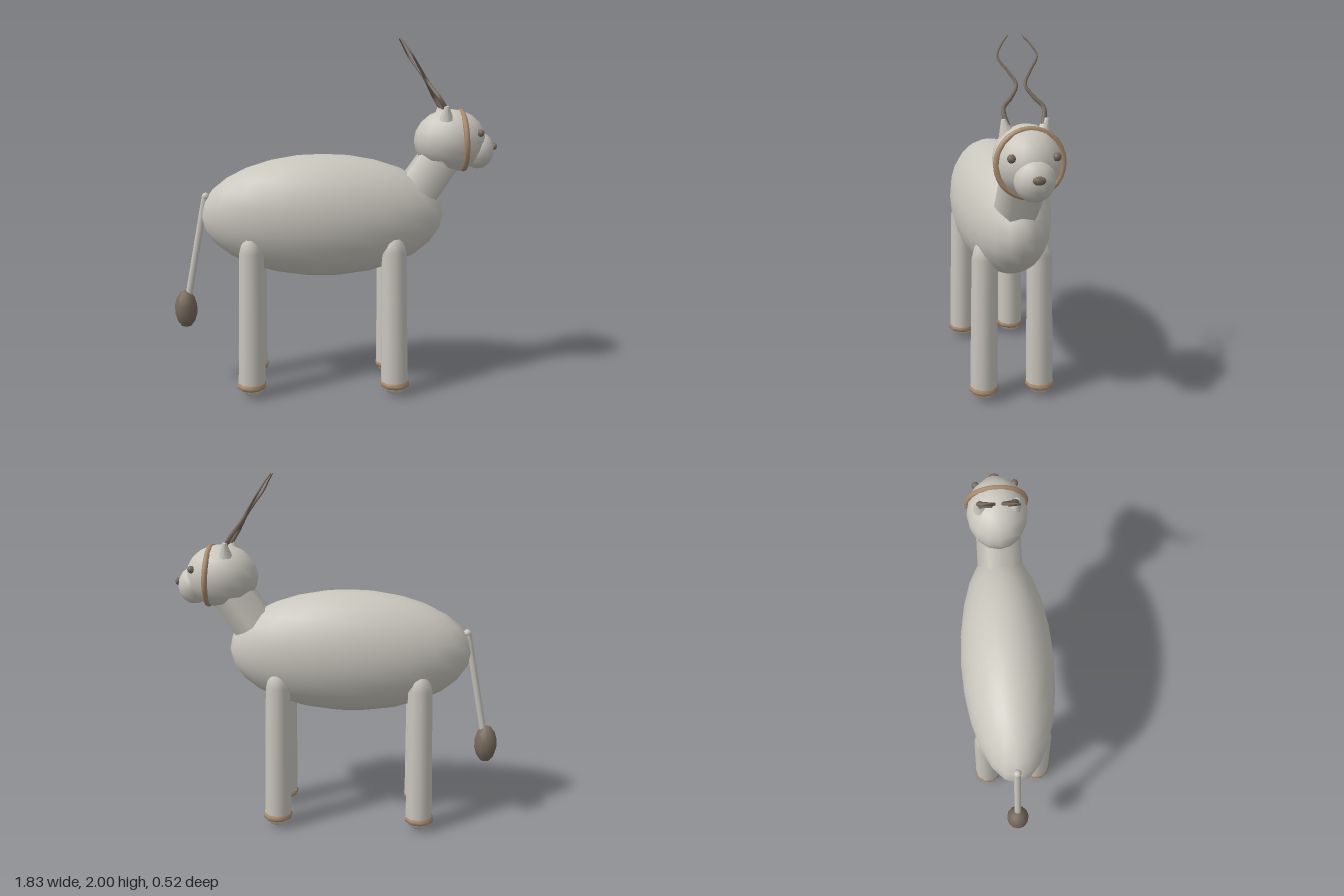
import * as THREE from 'three';

const mat = (name, color) => {
  const m = new THREE.MeshStandardMaterial({ color });
  m.name = name;
  return m;
};

export function createModel() {
  const root = new THREE.Group();
  root.name = 'antelope';
  const hide = mat('paleHide', 0xc9c6bd);
  const tan = mat('tanBand', 0xa98b6c);
  const dark = mat('darkBrown', 0x76695b);

  const add = (name, geometry, material, pos = [0, 0, 0], parent = root) => {
    const m = new THREE.Mesh(geometry, material);
    m.name = name;
    m.position.set(...pos);
    parent.add(m);
    return m;
  };
  const ball = (name, material, pos, radii, seg = 16) =>
    add(name, new THREE.SphereGeometry(1, seg, Math.max(6, Math.round(seg * 0.6))), material, pos)
      .scale.set(...radii);
  // Cylinder running from point a to point b
  const rod = (name, material, a, b, ra, rb, seg) => {
    const from = new THREE.Vector3(...a), to = new THREE.Vector3(...b);
    const dir = to.clone().sub(from);
    const m = add(name, new THREE.CylinderGeometry(rb, ra, dir.length(), seg), material,
      from.add(to).multiplyScalar(0.5).toArray());
    m.quaternion.setFromUnitVectors(new THREE.Vector3(0, 1, 0), dir.normalize());
    return m;
  };

  // Body and neck
  ball('body', hide, [-0.065, 1.02, 0], [0.685, 0.347, 0.262], 24);
  rod('neck', hide, [0.475, 1.165, 0], [0.645, 1.415, 0], 0.127, 0.122, 6);

  // Head, muzzle and nose
  ball('head', hide, [0.65, 1.44, 0], [0.203, 0.175, 0.167], 16);
  ball('muzzle', hide, [0.81, 1.385, 0], [0.09, 0.104, 0.1], 14);
  ball('nose', dark, [0.9, 1.406, 0], [0.017, 0.021, 0.032], 10);

  // Halter band around the head
  const halter = add('halter', new THREE.TorusGeometry(0.161, 0.016, 8, 28), tan, [0.717, 1.442, 0]);
  halter.rotation.set(0, Math.PI / 2, 0.06, 'ZYX');

  // Legs: tapered with rounded ends, leaning slightly inwards, banded above the hoof
  const legProfile = [[0, 0.005], [0.035, 0.014], [0.06, 0.035], [0.07, 0.06], [0.078, 0.085],
    [0.07, 0.84], [0.055, 0.9], [0.03, 0.94], [0, 0.95]].map(p => new THREE.Vector2(...p));
  const bandProfile = [[0.068, 0.05], [0.082, 0.06], [0.084, 0.075], [0.076, 0.09]]
    .map(p => new THREE.Vector2(...p));
  for (const side of [1, -1]) {
    for (const [name, x] of [['frontLeg', 0.341], ['backLeg', -0.473]]) {
      const leg = new THREE.Group();
      leg.name = name;
      leg.position.set(x, 0, side * 0.16);
      root.add(leg);
      const lean = x > 0 ? -0.016 : 0.014;
      const geo = new THREE.LatheGeometry(legProfile, 10);
      const p = geo.attributes.position;
      for (let i = 0; i < p.count; i++) {
        const y = p.getY(i);
        p.setX(i, p.getX(i) + lean * y);
        p.setZ(i, p.getZ(i) - side * 0.012 * y);
      }
      add('limb', geo, hide, [0, 0, 0], leg);
      add('hoofBand', new THREE.LatheGeometry(bandProfile, 10), tan, [0, 0, 0], leg);
    }

    // Eye
    ball('eye', dark, [0.8, 1.489, side * 0.107], [0.021, 0.021, 0.021], 10);

    // Small cone ear at the horn root
    rod('ear', hide, [0.612, 1.56, side * 0.088], [0.61, 1.635, side * 0.106], 0.042, 0.012, 8);

    // Wavy horn sweeping backwards, thinning to a point
    const path = new THREE.CatmullRomCurve3([
      [0.618, 1.605, 0.088], [0.57, 1.68, 0.098], [0.54, 1.725, 0.055], [0.505, 1.78, 0.022],
      [0.465, 1.84, 0.055], [0.42, 1.905, 0.098], [0.39, 1.955, 0.075], [0.36, 1.999, 0.036],
    ].map(([x, y, z]) => new THREE.Vector3(x, y, side * z)));
    const rings = 40, sides = 8;
    const horn = new THREE.TubeGeometry(path, rings, 0.013, sides);
    const hp = horn.attributes.position, v = new THREE.Vector3();
    for (let i = 0; i < hp.count; i++) {
      const t = Math.floor(i / (sides + 1)) / rings;
      const c = path.getPointAt(t);
      v.fromBufferAttribute(hp, i).sub(c).multiplyScalar(1 - 0.75 * t).add(c);
      hp.setXYZ(i, v.x, v.y, v.z);
    }
    add('horn', horn, dark);
  }

  // Tail with a rounded root and a dark tuft
  ball('tailRoot', hide, [-0.722, 1.13, 0], [0.022, 0.022, 0.022], 10);
  rod('tail', hide, [-0.725, 1.13, 0], [-0.84, 0.53, 0], 0.019, 0.019, 8);
  ball('tailTuft', dark, [-0.853, 0.475, 0], [0.065, 0.11, 0.065], 12);

  return root;
}
